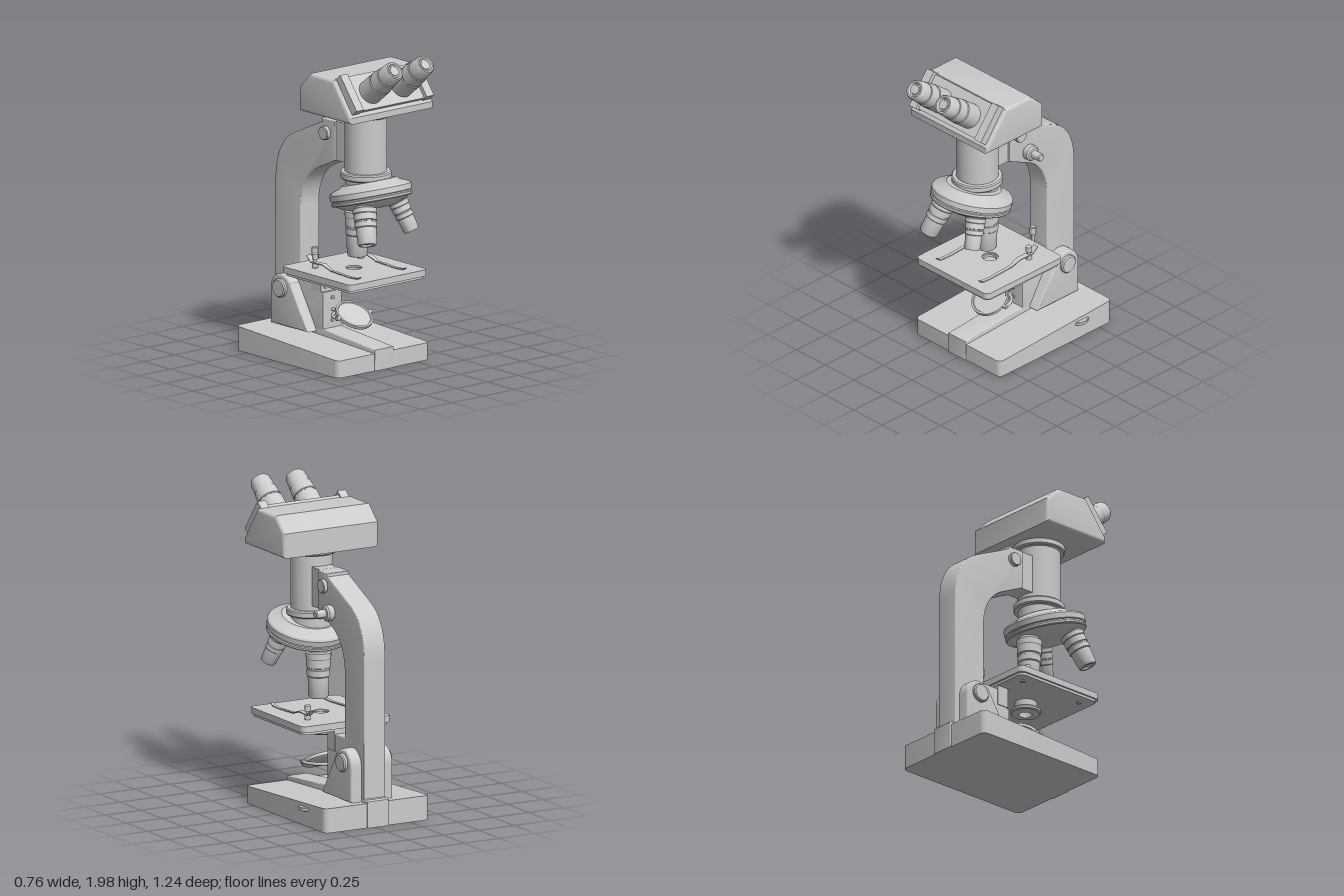
import * as THREE from 'three';
import { toCreasedNormals } from 'three/addons/utils/BufferGeometryUtils.js';

const grey = new THREE.MeshStandardMaterial({ color: 0xcccccc });
const thin = new THREE.MeshStandardMaterial({ color: 0xcccccc, side: THREE.DoubleSide });

function add(parent, name, geo, x = 0, y = 0, z = 0, mat = grey) {
  const m = new THREE.Mesh(geo, mat);
  m.name = name;
  m.position.set(x, y, z);
  parent.add(m);
  return m;
}

function group(parent, name, x = 0, y = 0, z = 0) {
  const g = new THREE.Group();
  g.name = name;
  g.position.set(x, y, z);
  parent.add(g);
  return g;
}

const box = (w, h, d) => new THREE.BoxGeometry(w, h, d);

// Turned part from [radius, y] points, listed bottom to top
const turned = (pts, seg = 40) =>
  toCreasedNormals(new THREE.LatheGeometry(pts.map(p => new THREE.Vector2(...p)), seg), 0.5);

// Cylinder with softened rims, centred on its own middle
function disc(r, h, seg = 32) {
  const b = Math.min(r, h) * 0.15;
  return turned([[0, -h / 2], [r - b, -h / 2], [r, b - h / 2], [r, h / 2 - b], [r - b, h / 2], [0, h / 2]], seg);
}

// Side profile in (z, y) extruded across x, centred on x = 0
function across(shape, width, bevel) {
  const geo = new THREE.ExtrudeGeometry(shape, {
    depth: width - 2 * bevel, bevelSize: bevel, bevelThickness: bevel, bevelOffset: -bevel,
    bevelSegments: 4, curveSegments: 20,
  });
  geo.translate(0, 0, bevel - width / 2).rotateY(-Math.PI / 2);
  return toCreasedNormals(geo, 0.5);
}
const poly = pts => new THREE.Shape(pts.map(p => new THREE.Vector2(...p)));

// Rounded rectangle in plan (x, z)
function plan(x0, x1, z0, z1, r) {
  const s = new THREE.Shape();
  s.absarc(x1 - r, z0 + r, r, -Math.PI / 2, 0);
  s.absarc(x1 - r, z1 - r, r, 0, Math.PI / 2);
  s.absarc(x0 + r, z1 - r, r, Math.PI / 2, Math.PI);
  s.absarc(x0 + r, z0 + r, r, Math.PI, Math.PI * 1.5);
  return s;
}
// Plan shape extruded downwards from y = 0
const slab = (shape, depth) =>
  new THREE.ExtrudeGeometry(shape, { depth, bevelEnabled: false, curveSegments: 10 }).rotateX(Math.PI / 2);

function buildBase(root) {
  // Sloping foot: the upper face rises towards the back
  const foot = slab(plan(-0.368, 0.368, -0.605, 0.348, 0.035), 1);
  const p = foot.attributes.position;
  for (let i = 0; i < p.count; i++) {
    p.setY(i, p.getY(i) < -0.5 ? 0 : 0.108 + 0.045 * (0.35 - p.getZ(i)) / 0.95);
  }
  foot.computeVertexNormals();
  add(root, 'base', toCreasedNormals(foot, 0.5));
  add(root, 'baseSpine', across(poly([[0.355, 0], [0.355, 0.132], [-0.155, 0.174], [-0.605, 0.174], [-0.615, 0.165], [-0.615, 0]]), 0.15, 0.006));
  add(root, 'baseDial', disc(0.065, 0.022), 0.332, 0.107, -0.35);
}

function buildArm(root) {
  const s = new THREE.Shape();
  s.moveTo(-0.13, 0.16);
  s.lineTo(-0.575, 0.16);
  s.lineTo(-0.575, 1.03);
  s.bezierCurveTo(-0.575, 1.2, -0.51, 1.3, -0.41, 1.35);
  s.lineTo(-0.14, 1.475);
  s.lineTo(-0.14, 1.495);
  s.lineTo(-0.02, 1.495);
  s.lineTo(-0.02, 1.25);
  s.lineTo(-0.19, 1.17);
  s.bezierCurveTo(-0.29, 1.12, -0.34, 1.02, -0.34, 0.9);
  s.lineTo(-0.34, 0.51);
  s.lineTo(-0.145, 0.51);
  s.lineTo(-0.145, 0.4);
  s.lineTo(-0.13, 0.4);
  add(root, 'arm', across(s, 0.15, 0.006));
  add(root, 'tubeSlide', box(0.13, 0.245, 0.13), 0, 1.373, 0.04);
  add(root, 'slideRail', box(0.09, 0.245, 0.03), 0, 1.373, -0.01);

  // Cheeks flanking the foot of the arm
  const c = new THREE.Shape();
  c.moveTo(-0.19, 0.15);
  c.lineTo(-0.355, 0.425);
  c.absarc(-0.44, 0.37, 0.1, 0.58, Math.PI, false);
  c.lineTo(-0.54, 0.15);
  add(root, 'cheeks', across(c, 0.295, 0.012));
  for (const side of [-1, 1]) {
    add(root, 'coarseKnob', disc(0.058, 0.05), side * 0.145, 0.385, -0.44).rotation.z = Math.PI / 2;
    add(root, 'pivotKnob', disc(0.043, 0.03), side * 0.09, 1.41, -0.1).rotation.z = Math.PI / 2;
  }
  const fine = add(root, 'fineKnob', turned([[0, 0], [0.045, 0], [0.05, 0.01], [0.05, 0.04], [0.04, 0.05],
    [0.026, 0.052], [0.026, 0.112], [0.02, 0.118], [0, 0.118]]), 0.073, 1.26, -0.18);
  fine.rotation.z = -Math.PI / 2;
  thumbScrew(root, 'stopScrew', 0, 0.51, -0.295, 0.135);
}

function thumbScrew(parent, name, x, y, z, h) {
  add(parent, name, turned([[0, 0], [0.01, 0], [0.01, h * 0.6], [0.02, h * 0.62], [0.02, h * 0.97], [0.016, h], [0, h]], 20), x, y, z);
}

function buildStage(root) {
  const g = group(root, 'stage');
  const layer = (inset, depth, hole) => {
    const s = plan(-0.312 + inset, 0.312 - inset, -0.245 + inset, 0.4 - inset, 0.035);
    s.holes.push(new THREE.Path().absarc(0, 0.07, hole, 0, Math.PI * 2, true));
    return toCreasedNormals(slab(s, depth), 0.5);
  };
  add(g, 'stagePlate', layer(0, 0.04, 0.05), 0, 0.585);
  add(g, 'stageUnderplate', layer(0.012, 0.018, 0.05), 0, 0.547);
  add(g, 'stageBracket', box(0.16, 0.13, 0.085), 0, 0.468, -0.188);
  for (const x of [-0.045, 0.045]) {
    add(g, 'bracketScrew', disc(0.01, 0.012, 16), x, 0.43, -0.146).rotation.x = Math.PI / 2;
  }
  for (const y of [0.36, 0.22]) {
    add(g, 'footScrew', disc(0.012, 0.016, 16), 0, y, -0.13).rotation.x = Math.PI / 2;
  }
  add(g, 'condenser', turned([[0.05, 0.45], [0.085, 0.455], [0.092, 0.462], [0.092, 0.475], [0.085, 0.482],
    [0.068, 0.484], [0.068, 0.55], [0.05, 0.575], [0.04, 0.575], [0.04, 0.45], [0.05, 0.45]]), 0, 0, 0.07);
  add(g, 'condenserLens', disc(0.042, 0.02), 0, 0.55, 0.07);

  // Springy slide clips held by thumb screws
  const path = [[-0.14, 0.655], [-0.1, 0.62], [0.005, 0.623], [0.075, 0.598], [0.25, 0.59], [0.32, 0.594], [0.34, 0.605]];
  const clip = [...path, ...path.slice().reverse().map(([z, y]) => [z, y - 0.006])];
  for (const x of [-0.183, 0.183]) {
    const geo = across(poly(clip), 0.036, 0);
    const p = geo.attributes.position;
    for (let i = 0; i < p.count; i++) if (p.getZ(i) > 0.05) p.setX(i, p.getX(i) * 0.6);
    add(g, 'slideClip', geo, x, 0, 0, thin);
    add(g, 'clipCollar', disc(0.02, 0.035, 20), x, 0.602, -0.08);
    thumbScrew(g, 'clipScrew', x, 0.58, -0.08, 0.095);
    for (const z of [-0.16, 0.3]) add(g, 'underScrew', disc(0.014, 0.016, 16), x * 1.25, 0.526, z);
  }
}

function buildMirror(root) {
  const g = group(root, 'mirror', 0, 0.285, 0.07);
  const tilt = group(g, 'mirrorTilt');
  tilt.rotation.x = 0.54;
  add(tilt, 'mirrorDisc', turned([[0, -0.014], [0.11, -0.014], [0.12, -0.008], [0.12, 0.012], [0.108, 0.012], [0.104, 0.006], [0, 0.006]]));
  const fork = add(g, 'mirrorFork', new THREE.TorusGeometry(0.13, 0.01, 10, 32, Math.PI));
  fork.rotation.x = -Math.PI / 2;
  for (const x of [-0.128, 0.128]) add(g, 'mirrorPivot', disc(0.013, 0.03, 16), x).rotation.z = Math.PI / 2;
  add(g, 'mirrorRod', disc(0.01, 0.09, 16), 0, 0, -0.165).rotation.x = Math.PI / 2;
}

function buildNosepiece(root) {
  const tilt = 0.27;
  const g = group(root, 'nosepiece', 0, 1.055, 0.235);
  g.rotation.x = -tilt;
  add(g, 'turret', turned([[0, -0.065], [0.13, -0.065], [0.205, -0.035], [0.225, -0.02], [0.245, -0.018], [0.25, -0.012],
    [0.25, 0], [0.243, 0.004], [0.243, 0.012], [0.252, 0.016], [0.253, 0.05], [0.245, 0.062], [0.19, 0.085], [0.17, 0.1], [0, 0.1]], 56));

  // Three objectives of different lengths: [azimuth, length, radius]
  for (const [az, len, r] of [[Math.PI, 0.315, 0.078], [-Math.PI / 3, 0.25, 0.074], [Math.PI / 3, 0.215, 0.062]]) {
    const spin = group(g, 'objectiveMount');
    spin.rotation.y = az;
    const o = group(spin, 'objective', 0, -0.035, 0.15);
    o.rotation.x = -tilt;
    add(o, 'objectiveBarrel', turned([[0, 0.012 - len], [r * 0.45, 0.012 - len], [r * 0.5, -len], [r * 0.72, -len], [r * 0.8, 0.012 - len],
      [r * 0.84, -len * 0.58], [r * 0.92, -len * 0.56], [r * 0.92, -len * 0.44], [r * 0.87, -len * 0.43], [r * 0.87, -len * 0.4],
      [r * 0.95, -len * 0.39], [r * 0.95, -len * 0.23], [r, -len * 0.21], [r, -len * 0.1], [r * 0.85, -len * 0.08], [r * 0.85, 0.02]], 36));
  }
}

function buildTube(root) {
  add(root, 'bodyTube', turned([[0, 1.05], [0.128, 1.05], [0.128, 1.17], [0.15, 1.172], [0.157, 1.18], [0.157, 1.208], [0.15, 1.216],
    [0.13, 1.218], [0.13, 1.562], [0.15, 1.564], [0.157, 1.572], [0.157, 1.61], [0, 1.61]], 48), 0, 0, 0.18);
}

function buildHead(root) {
  const g = group(root, 'head');
  add(g, 'headBody', across(poly([[0.425, 1.6], [0.425, 1.64], [0.265, 1.85], [0.045, 1.85], [-0.055, 1.755], [-0.055, 1.6]]), 0.672, 0.022));

  // Sloping face: local +y points out along the eyepieces
  const f = group(g, 'eyepieceFace', 0, 1.745, 0.345);
  f.rotation.x = 0.91;
  add(f, 'facePlate', box(0.58, 0.04, 0.235), 0, 0.005, -0.01);
  for (const x of [-0.282, 0.282]) add(f, 'faceRail', box(0.058, 0.06, 0.25), x, 0.022, -0.012);
  for (const x of [-0.124, 0.124]) {
    add(f, 'eyepiece', turned([[0.078, 0], [0.078, 0.125], [0.073, 0.129], [0.073, 0.135], [0.076, 0.139], [0.071, 0.205],
      [0.066, 0.208], [0.066, 0.214], [0.068, 0.218], [0.063, 0.285], [0.056, 0.297], [0.046, 0.297], [0.038, 0.283],
      [0.03, 0.283], [0.028, 0.288], [0, 0.292]], 40), x, 0.02, 0);
  }
}

export function createModel() {
  const model = new THREE.Group();
  model.name = 'microscope';
  const root = group(model, 'body', -0.017);
  [buildBase, buildArm, buildStage, buildMirror, buildNosepiece, buildTube, buildHead].forEach(build => build(root));
  return model;
}
